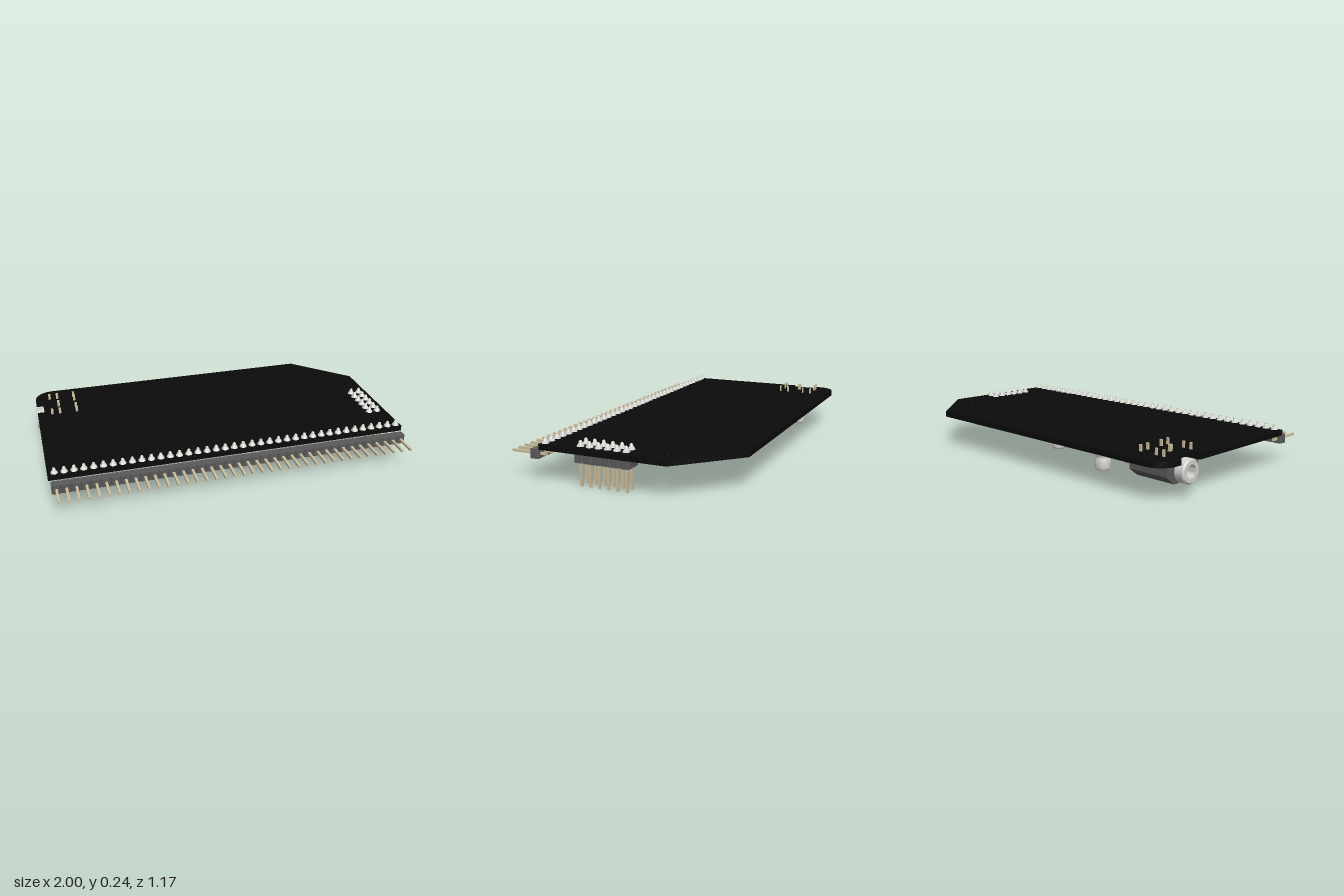
import * as THREE from 'three';
import { toCreasedNormals } from 'three/addons/utils/BufferGeometryUtils.js';

const material = (name, color) => {
  const m = new THREE.MeshStandardMaterial({ color });
  m.name = name;
  return m;
};

export function createModel() {
  const root = new THREE.Group();
  root.name = 'circuitBoard';
  const black = material('board black', 0x0b0b0b);
  const grey = material('plastic grey', 0x5a5a5a);
  const silver = material('bright metal', 0xd2d2ce);
  const gold = material('pin gold', 0xcdbf9c);
  const lead = material('chip lead grey', 0x9a9a96);

  const PITCH = 0.0507, TOP = 0.203, UNDER = 0.173;

  const add = (name, geo, mat, x = 0, y = 0, z = 0, parent = root) => {
    const m = new THREE.Mesh(geo, mat);
    m.name = name;
    m.position.set(x, y, z);
    parent.add(m);
    return m;
  };
  const group = (name) => {
    const g = new THREE.Group();
    g.name = name;
    root.add(g);
    return g;
  };
  const box = (name, w, h, d, mat, x, y, z, parent) =>
    add(name, new THREE.BoxGeometry(w, h, d), mat, x, y, z, parent);
  const lathe = (pts, seg = 24) => toCreasedNormals(
    new THREE.LatheGeometry(pts.map(p => new THREE.Vector2(...p)), seg), 0.6);
  // Flat outline in x/z, hanging down from y = 0 by the given depth
  const slab = (shape, depth) =>
    new THREE.ExtrudeGeometry(shape, { depth, bevelEnabled: false, curveSegments: 12 }).rotateX(Math.PI / 2);
  const octagon = (w, d, c) => new THREE.Shape([
    [-w + c, -d], [w - c, -d], [w, -d + c], [w, d - c],
    [w - c, d], [-w + c, d], [-w, d - c], [-w, -d + c],
  ].map(p => new THREE.Vector2(...p)));

  // Board with rounded corner, clipped corner, jack notch and mounting hole
  const outline = new THREE.Shape();
  outline.moveTo(-0.993, 0.41);
  outline.lineTo(0.997, 0.41);
  outline.lineTo(0.997, -0.29);
  outline.lineTo(0.7, -0.583);
  outline.lineTo(-0.888, -0.583);
  outline.absarc(-0.888, -0.478, 0.105, -Math.PI / 2, -Math.PI, true);
  outline.lineTo(-0.993, -0.447);
  outline.lineTo(-0.953, -0.447);
  outline.lineTo(-0.953, -0.308);
  outline.lineTo(-0.993, -0.308);
  outline.closePath();
  const hole = new THREE.Path();
  hole.absarc(0.897, -0.25, 0.03, 0, Math.PI * 2);
  outline.holes.push(hole);
  add('board', slab(outline, TOP - UNDER), black, 0, TOP, 0);

  // Concave solder fillet around each pin
  const solderGeo = lathe([[0.02, 0], [0.0165, 0.008], [0.01, 0.016], [0.008, 0.026], [0.004, 0.03], [0, 0.03]], 10);
  const solder = (x, z, parent) => add('solderJoint', solderGeo, silver, x, TOP, z, parent);

  // Long right-angle header along the front edge
  const edge = group('edgeHeader');
  const edgeBody = slab(octagon(PITCH / 2, 0.025, 0.007), 0.048);
  for (let i = 0; i < 39; i++) {
    const x = -0.957 + i * PITCH;
    add('edgeHeaderBody', edgeBody, grey, x, 0.171, 0.441, edge);
    box('edgePin', 0.013, 0.013, 0.205, gold, x, 0.147, 0.4825, edge);
    box('edgePinRiser', 0.013, 0.09, 0.013, gold, x, 0.1855, 0.3865, edge);
    solder(x, 0.3865, edge);
  }

  // Two-row header pointing down at the left side
  const side = group('sideHeader');
  const sideBody = slab(octagon(0.05, PITCH / 2, 0.007), 0.05);
  for (let i = 0; i < 6; i++) {
    const z = 0.197 - i * PITCH;
    add('sideHeaderBody', sideBody, grey, 0.923, UNDER, z, side);
    for (const x of [0.898, 0.948]) {
      box('sidePin', 0.013, 0.225, 0.013, gold, x, 0.1125, z, side);
      solder(x, z, side);
    }
  }

  // Can capacitors hanging under the board
  const capacitor = (x, z, r, bottom) => {
    const g = group('capacitor');
    const neck = UNDER - 0.02, waist = neck - 0.018;
    add('capacitorBase', slab(octagon(r * 1.03, r * 1.03, r * 0.3), 0.022), grey, x, UNDER, z, g);
    add('capacitorCan', lathe([
      [0, bottom], [r * 0.88, bottom], [r, bottom + 0.007], [r, waist - 0.016],
      [r * 0.9, waist - 0.008], [r * 0.9, waist], [r, waist + 0.008], [r, neck], [0, neck],
    ], 28), silver, x, 0, z, g);
    for (const s of [-1, 1])
      box('capacitorTab', 0.018, 0.006, 0.024, lead, x + s * (r * 1.03 + 0.006), UNDER - 0.003, z, g);
  };
  capacitor(0.15, 0.235, 0.061, 0.022);
  for (const [x, z] of [[0.17, 0.025], [-0.52, -0.27], [-0.03, -0.328], [-0.515, -0.47]])
    capacitor(x, z, 0.04, 0.066);

  // Chips with gull-wing leads along both long sides
  const chip = (x, z, w, d, h, leads) => {
    const g = group('chip');
    const c = 0.008;
    // Body tapers slightly toward its exposed face
    const body = new THREE.BoxGeometry(w, h, d);
    const p = body.attributes.position;
    for (let i = 0; i < p.count; i++)
      if (p.getY(i) < 0) p.setXYZ(i, p.getX(i) - Math.sign(p.getX(i)) * c, p.getY(i), p.getZ(i) - Math.sign(p.getZ(i)) * c);
    body.computeVertexNormals();
    add('chipBody', body, grey, x, UNDER - 0.005 - h / 2, z, g);
    const step = (w - 0.02) / (leads - 1);
    for (let i = 0; i < leads; i++) for (const s of [-1, 1]) {
      const lx = x - w / 2 + 0.01 + i * step;
      box('chipLeadFoot', 0.01, 0.005, 0.02, lead, lx, UNDER - 0.0025, z + s * (d / 2 + 0.018), g);
      box('chipLeadShoulder', 0.01, 0.016, 0.012, lead, lx, UNDER - 0.01, z + s * (d / 2 + 0.004), g);
    }
  };
  chip(0.475, 0.11, 0.255, 0.15, 0.043, 10);
  chip(-0.26, -0.168, 0.2, 0.1, 0.026, 8);
  chip(-0.256, -0.425, 0.16, 0.085, 0.026, 7);
  chip(-0.7, 0.097, 0.1, 0.1, 0.026, 6);

  // Two rows of bare pads
  const pads = group('padRows');
  for (const x of [-0.345, -0.54]) for (let i = 0; i < 13; i++)
    box('pad', 0.03, 0.004, 0.011, lead, x, UNDER - 0.002, 0.025 + i * 0.0253, pads);

  // Small resistors with metal end caps; last value turns them along z
  const resistors = group('resistors');
  for (const [x, z, turn] of [
    [0.78, -0.06, 1], [0.73, -0.06, 1], [0.68, -0.06, 1], [0.78, 0.02, 1], [0.73, 0.02, 1],
    [0.68, 0.02, 1], [0.78, 0.1, 0], [0.78, 0.17, 0], [0.24, 0.1, 1], [-0.09, -0.17, 1],
    [-0.14, -0.4, 1], [-0.14, -0.45, 1], [-0.42, -0.14, 0], [-0.42, -0.39, 1], [-0.37, -0.47, 1],
    [-0.58, -0.36, 0], [-0.6, 0.02, 0], [-0.78, -0.02, 0], [-0.62, -0.1, 1], [-0.42, -0.02, 0],
    [-0.2, -0.52, 0], [-0.3, -0.52, 0],
  ]) {
    const g = new THREE.Group();
    g.name = 'resistor';
    g.position.set(x, UNDER - 0.007, z);
    g.rotation.y = turn * Math.PI / 2;
    resistors.add(g);
    box('resistorBody', 0.026, 0.014, 0.02, grey, 0, 0, 0, g);
    for (const s of [-1, 1]) box('resistorEnd', 0.007, 0.014, 0.021, lead, s * 0.0165, 0, 0, g);
  }

  // Audio jack: housing with sloped shoulders and a hollow metal collar
  const jack = group('jack');
  const profile = new THREE.Shape([
    [0.115, 0.172], [-0.115, 0.172], [-0.115, 0.112], [-0.06, 0.07], [0.06, 0.07], [0.115, 0.112],
  ].map(p => new THREE.Vector2(...p)));
  const housing = new THREE.ExtrudeGeometry(profile, { depth: 0.232, bevelEnabled: false }).rotateY(Math.PI / 2);
  add('jackHousing', housing, grey, -0.947, 0, -0.378, jack);
  const collar = lathe([[0.034, 0], [0.062, 0], [0.062, 0.045], [0.055, 0.052], [0.034, 0.052], [0.034, 0]]);
  const ring = add('jackCollar', collar, silver, -0.947, 0.13, -0.378, jack);
  ring.rotation.z = Math.PI / 2;
  const bore = add('jackBore', new THREE.CircleGeometry(0.036, 24), black, -0.949, 0.13, -0.378, jack);
  bore.rotation.y = -Math.PI / 2;
  for (const [x, z, w] of [[-0.767, -0.472, 0.008], [-0.767, -0.422, 0.008], [-0.767, -0.322, 0.008],
    [-0.767, -0.272, 0.008], [-0.865, -0.372, 0.02], [-0.91, -0.472, 0.008], [-0.865, -0.472, 0.008],
    [-0.91, -0.272, 0.008], [-0.865, -0.272, 0.008]])
    box('jackPin', 0.014, 0.067, w, gold, x, 0.2035, z, jack);

  return root;
}
